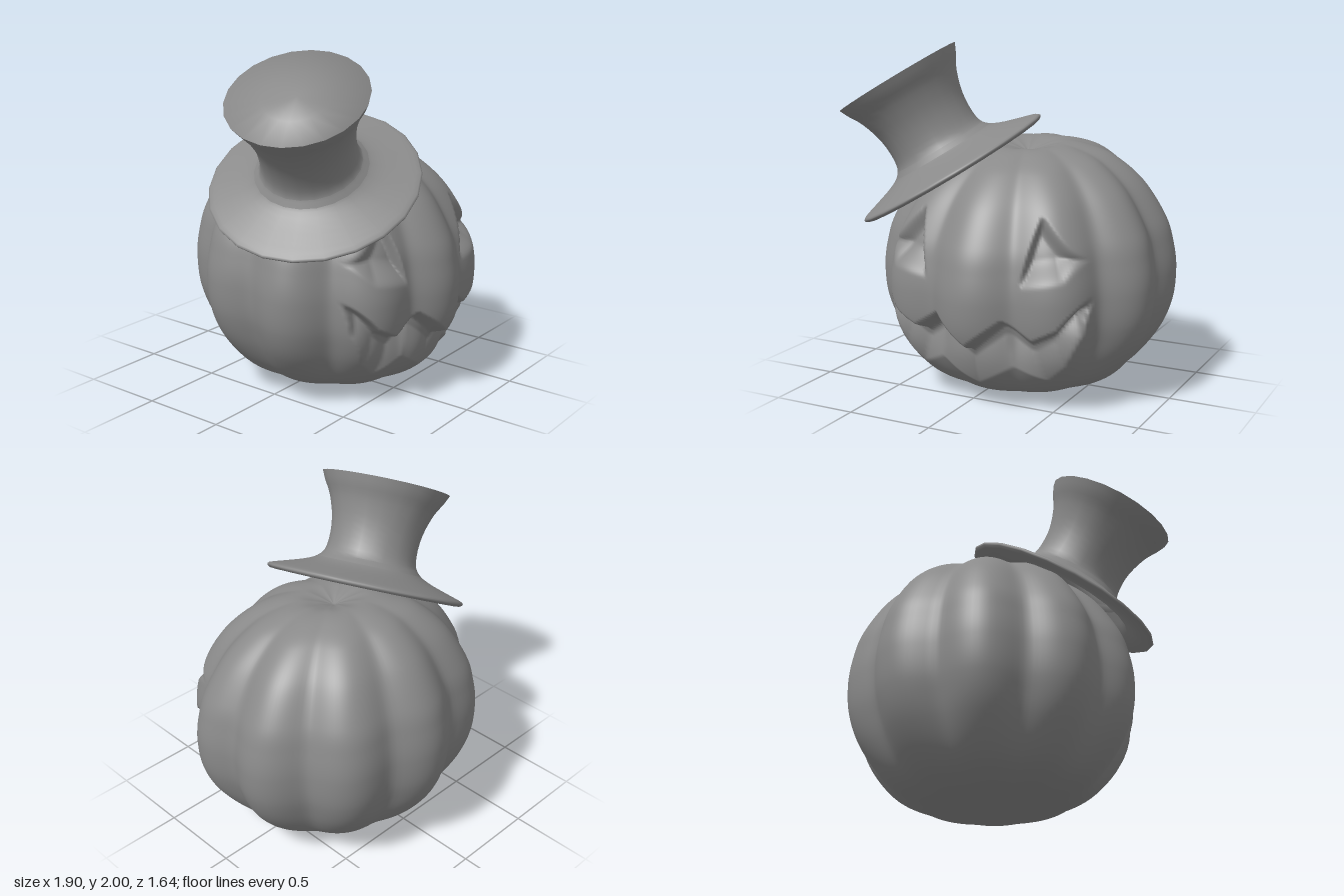
import * as THREE from 'three';
import { mergeVertices } from 'three/addons/utils/BufferGeometryUtils.js';

const V2 = (p) => new THREE.Vector2(p[0], p[1]);
const { smoothstep } = THREE.MathUtils;
const CENTRE_X = 0.1;
const RADIUS_X = 0.885, RADIUS_Z = 0.828;
const ROWS = 210, COLUMNS = 240;
const LID_RADIUS = 0.392, HAT_HEIGHT = 0.617, HAT_SIDES = 22;

// Height of a polyline at x, for points sorted by x
function polyline(points, x) {
  for (let i = 1; i < points.length; i++) {
    const [x0, y0] = points[i - 1], [x1, y1] = points[i];
    if (x <= x1) return y0 + (y1 - y0) * (x - x0) / (x1 - x0);
  }
  return points[points.length - 1][1];
}

// Signed distance of (x, y) to the right of the line a -> b
function rightOf(a, b, x, y) {
  const dx = b[0] - a[0], dy = b[1] - a[1];
  return ((x - a[0]) * dy - (y - a[1]) * dx) / Math.hypot(dx, dy);
}

// Half outlines of the face, measured from its middle line
const upperLip = [[0, 0.41], [0.2, 0.565], [0.36, 0.46], [0.5, 0.53], [0.63, 0.7]];
const lowerLip = [[0, 0.15], [0.22, 0.28], [0.39, 0.2], [0.5, 0.3], [0.59, 0.48], [0.63, 0.7]];
// Eye corners, clockwise, and how wide the slope along each edge is
const eyeCorners = [[0.36, 1.13], [0.6, 0.89], [0.52, 0.77], [0.28, 0.73]];
const eyeSlopes = [0.07, 0.1, 0.14, 0.045];

// Carving depth: steep under the upper edges, easing out towards the lower ones
function carving(x, y) {
  let mouth = 0;
  const top = polyline(upperLip, x), bottom = polyline(lowerLip, x);
  if (x < 0.63 && y < top && y > bottom) {
    const open = Math.min(1, (top - bottom) / 0.15);
    const slope = Math.min(1, 1.5 * (y - bottom) / (top - bottom));
    mouth = open * slope * smoothstep(top - y, 0, 0.05);
  }
  const eye = Math.min(...eyeCorners.map((corner, i) =>
    rightOf(corner, eyeCorners[(i + 1) % 4], x, y) / eyeSlopes[i]));
  return Math.max(0.095 * mouth, 0.09 * smoothstep(eye, 0, 1));
}

function pumpkinGeometry() {
  const outline = new THREE.SplineCurve([
    [0, 0.02], [0.2, 0.01], [0.47, 0.05], [0.69, 0.14], [0.88, 0.32], [0.976, 0.5], [1, 0.69],
    [0.976, 0.85], [0.92, 1.0], [0.77, 1.2], [0.58, 1.34], [0.4, 1.405], [0.25, 1.425],
    [0.12, 1.405], [0, 1.37],
  ].map(V2));
  const geometry = new THREE.LatheGeometry(outline.getSpacedPoints(ROWS), COLUMNS);
  const pos = geometry.attributes.position;
  for (let i = 0; i < pos.count; i++) {
    // Denser columns towards the front, where the face is
    const u = Math.floor(i / (ROWS + 1)) / COLUMNS * Math.PI * 2;
    const angle = u - 0.5 * Math.sin(u);
    const r = Math.hypot(pos.getX(i), pos.getZ(i));
    let y = pos.getY(i);
    // Ten broad ribs with soft valleys, flattening out towards the bottom
    const valley = 1.06 - Math.sqrt(Math.cos(5 * angle) ** 2 + 0.08) / 1.04;
    const rib = 1 - 0.122 * valley * (0.35 + 0.65 * smoothstep(y, 0, 0.45));
    let x = r * rib * RADIUS_X * Math.sin(angle);
    let z = r * rib * RADIUS_Z * Math.cos(angle);
    // The pumpkin leans a little forward
    y = Math.max(0, y - z * (0.03 + 0.05 * y));
    if (z > 0.2) {
      const d = carving(Math.abs(x), y);
      x -= d * Math.sin(angle);
      z -= d * Math.cos(angle);
    }
    pos.setXYZ(i, x, y, z);
  }
  geometry.deleteAttribute('normal');
  geometry.deleteAttribute('uv');
  const welded = mergeVertices(geometry, 1e-5);
  welded.computeVertexNormals();
  return welded;
}

function hatGeometry() {
  // Hollow underside, opening into the waist
  const underside = [
    [0, 0.3], [0.24, 0.3], [0.25, 0.2], [0.3, 0.13], [0.38, 0.06], [0.43, 0], [0.52, -0.012],
    [0.585, -0.018],
  ];
  // Rolled brim edge, waist and flared crown
  const side = new THREE.SplineCurve([
    [0.6, -0.008], [0.595, 0.012], [0.5, 0.042], [0.37, 0.085], [0.295, 0.135], [0.272, 0.22],
    [0.28, 0.35], [0.32, 0.48], [0.365, 0.56], [LID_RADIUS, HAT_HEIGHT],
  ].map(V2)).getPoints(27);
  return new THREE.LatheGeometry([...underside.map(V2), ...side], HAT_SIDES);
}

// Flat lid whose normals fan outwards, so it shades softly into the rim
function lidGeometry() {
  const geometry = new THREE.LatheGeometry(
    [[LID_RADIUS, HAT_HEIGHT], [LID_RADIUS / 2, HAT_HEIGHT], [0, HAT_HEIGHT]].map(V2), HAT_SIDES);
  const { position, normal } = geometry.attributes;
  const n = new THREE.Vector3();
  for (let i = 0; i < position.count; i++) {
    n.set(position.getX(i), 0.42, position.getZ(i)).normalize();
    normal.setXYZ(i, n.x, n.y, n.z);
  }
  return geometry;
}

export function createModel() {
  const group = new THREE.Group();
  const material = new THREE.MeshStandardMaterial({ color: 0x8a8a8a, side: THREE.DoubleSide });

  const pumpkin = new THREE.Mesh(pumpkinGeometry(), material);
  pumpkin.name = 'carvedPumpkin';
  pumpkin.position.x = CENTRE_X;
  group.add(pumpkin);

  // Hat tipped over the right side and slightly forward
  const hat = new THREE.Group();
  hat.name = 'topHat';
  hat.position.set(-0.32, 1.27, 0.16);
  hat.quaternion.setFromUnitVectors(
    new THREE.Vector3(0, 1, 0), new THREE.Vector3(-0.48, 0.86, 0.19).normalize());
  const body = new THREE.Mesh(hatGeometry(), material);
  body.name = 'hatBrimAndCrown';
  const lid = new THREE.Mesh(lidGeometry(), material);
  lid.name = 'hatLid';
  hat.add(body, lid);
  group.add(hat);

  return group;
}
